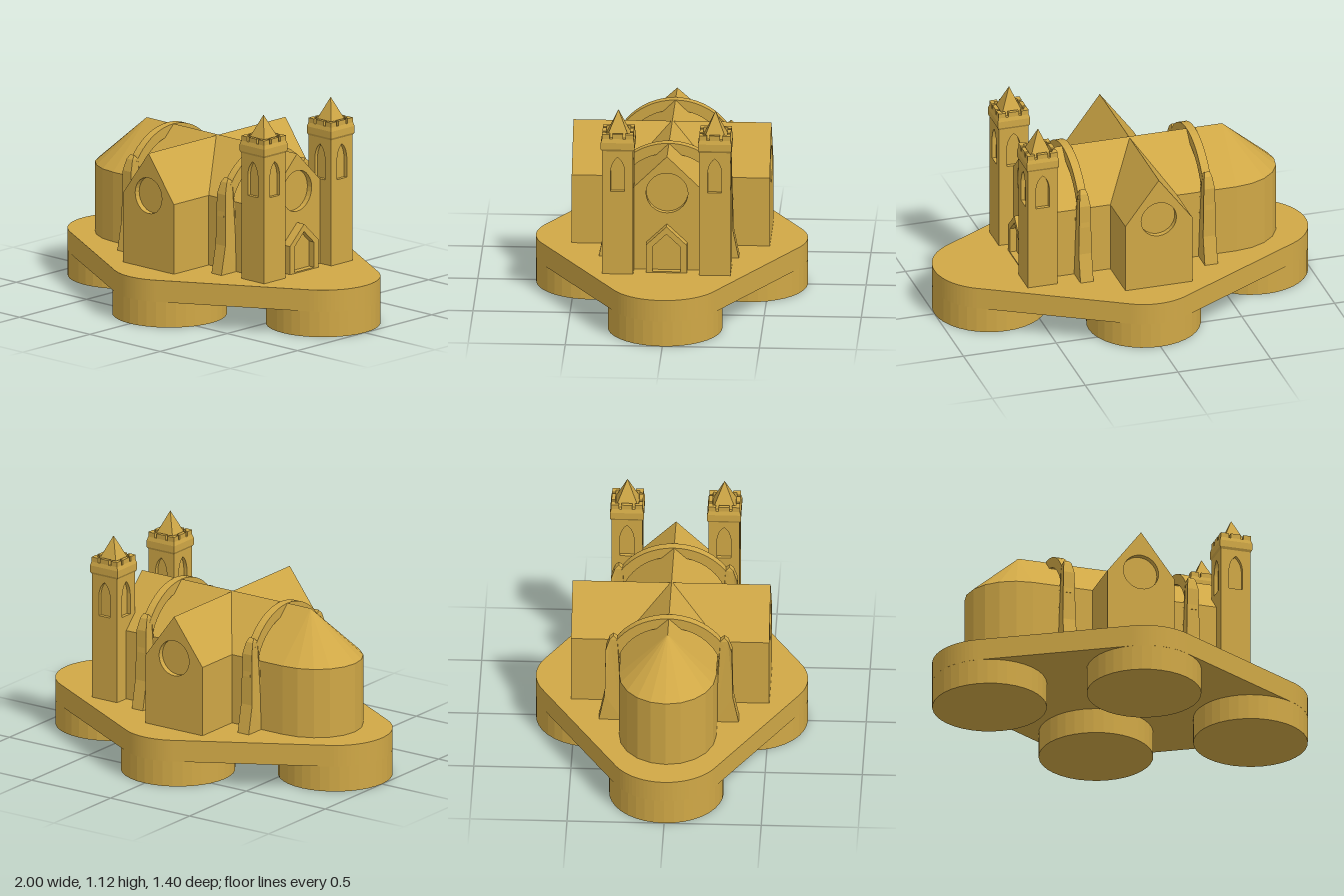
import * as THREE from 'three';

const gold = new THREE.MeshStandardMaterial({ color: 0xd0a846 });
gold.name = 'gold';

const flat = (geo) => {
  const g = geo.index ? geo.toNonIndexed() : geo;
  g.computeVertexNormals();
  return g;
};

function add(parent, name, geo, x = 0, y = 0, z = 0, turn = 0) {
  const mesh = new THREE.Mesh(flat(geo), gold);
  mesh.name = name;
  mesh.position.set(x, y, z);
  mesh.rotation.y = turn;
  parent.add(mesh);
  return mesh;
}

const polygon = (pts) => new THREE.Shape(pts.map(([x, y]) => new THREE.Vector2(x, y)));
const extrude = (shape, depth) =>
  new THREE.ExtrudeGeometry(shape, { depth, bevelEnabled: false, curveSegments: 14 });

// House outline: straight walls under a pointed gable
const gable = (half, base, eaves, ridge) =>
  polygon([[-half, base], [half, base], [half, eaves], [0, ridge], [-half, eaves]]);

const roundHole = (y, r) => new THREE.Path().absarc(0, y, r, 0, Math.PI * 2, true);

function withHole(shape, hole) {
  shape.holes.push(hole);
  return shape;
}

// Pointed-arch window outline
function lancet(half, bottom, spring, top) {
  const p = new THREE.Path();
  p.moveTo(-half, bottom);
  p.lineTo(half, bottom);
  p.lineTo(half, spring);
  p.quadraticCurveTo(half * 0.85, (spring + top) / 2 + 0.015, 0, top);
  p.quadraticCurveTo(-half * 0.85, (spring + top) / 2 + 0.015, -half, spring);
  p.lineTo(-half, bottom);
  return p;
}

function makeBase() {
  const base = new THREE.Group();
  base.name = 'base';
  const r = 0.295, a = Math.PI / 3;
  const s = new THREE.Shape();
  s.absarc(0.705, 0, r, -a, a);
  s.absarc(0, 0.405, r, a, 2 * a);
  s.absarc(-0.705, 0, r, 2 * a, 4 * a);
  s.absarc(0, -0.405, r, 4 * a, 5 * a);
  add(base, 'plate', extrude(s, 0.115).rotateX(-Math.PI / 2), 0, 0.135, 0);
  for (const [x, z] of [[0.705, 0], [-0.705, 0], [0, 0.405], [0, -0.405]])
    add(base, 'roundFoot', new THREE.CylinderGeometry(r, r, 0.135, 36), x, 0.0675, z);
  return base;
}

function makeTower() {
  const t = new THREE.Group();
  t.name = 'tower';
  const w = 0.08, d = 0.02;
  add(t, 'shaftCore', new THREE.BoxGeometry(0.12, 0.68, 0.12), 0, 0.59, 0);
  // Four wall panels, each pierced by a pointed window
  for (let i = 0; i < 4; i++) {
    const h = i % 2 ? w - d : w;
    const wall = polygon([[-h, 0.25], [h, 0.25], [h, 0.93], [-h, 0.93]]);
    wall.holes.push(lancet(0.036, 0.7, 0.81, 0.885));
    const turn = i * Math.PI / 2;
    add(t, 'shaftWall', extrude(wall, d), Math.sin(turn) * (w - d), 0, Math.cos(turn) * (w - d), turn);
  }
  // Flared crown, square in plan
  const k = Math.SQRT2;
  const ring = (r0, r1, y0, y1) => add(t, 'crown',
    new THREE.CylinderGeometry(r1 * k, r0 * k, y1 - y0, 4).rotateY(Math.PI / 4), 0, (y0 + y1) / 2, 0);
  ring(0.08, 0.087, 0.918, 0.93);
  ring(0.087, 0.087, 0.93, 0.965);
  ring(0.087, 0.081, 0.965, 0.985);
  // Battlements
  for (const u of [-1, 0, 1]) for (const v of [-1, 0, 1]) {
    if (!u && !v) continue;
    const sx = u ? (v ? 0.04 : 0.02) : 0.055;
    const sz = v ? (u ? 0.04 : 0.02) : 0.055;
    if (u && v) {
      add(t, 'cornerMerlon', new THREE.BoxGeometry(sx, 0.026, 0.02), u * 0.061, 0.997, v * 0.071);
      add(t, 'cornerMerlon', new THREE.BoxGeometry(0.02, 0.026, 0.02), u * 0.071, 0.997, v * 0.051);
    } else add(t, 'merlon', new THREE.BoxGeometry(sx, 0.026, sz), u * 0.071, 0.997, v * 0.071);
  }
  add(t, 'spire', new THREE.ConeGeometry(0.058 * k, 0.135, 4).rotateY(Math.PI / 4), 0, 1.0525, 0);
  return t;
}

function makeButtress() {
  const b = new THREE.Group();
  b.name = 'flyingButtress';
  // Arch passing over the roof
  const arch = new THREE.Shape();
  arch.absarc(0, 0.535, 0.33, 0.05, Math.PI - 0.05, false);
  arch.absarc(0, 0.535, 0.275, Math.PI - 0.05, 0.05, true);
  add(b, 'arch', extrude(arch, 0.044).translate(0, 0, -0.022), 0, 0, 0, Math.PI / 2);
  // Piers: battered foot, narrowing to a pointed head
  for (const s of [1, -1]) {
    const pier = polygon([[0.24, 0.25], [0.36, 0.25], [0.33, 0.4], [0.325, 0.67],
      [0.305, 0.73], [0.285, 0.75], [0.265, 0.73], [0.255, 0.6], [0.24, 0.5]]);
    const g = extrude(pier, 0.07).translate(0, 0, -0.035);
    const p = g.attributes.position;
    for (let i = 0; i < p.count; i++) {
      const y = p.getY(i);
      p.setZ(i, p.getZ(i) * (y > 0.74 ? 0.4 : y > 0.7 ? 0.6 : y > 0.45 ? 0.85 : 1));
    }
    add(b, 'pier', g, 0, 0, 0, s * Math.PI / 2);
  }
  return b;
}

export function createModel() {
  const model = new THREE.Group();
  model.name = 'churchOnBase';
  model.add(makeBase());
  const q = Math.PI / 2;

  // Nave with a recessed round window in its facade
  add(model, 'nave', extrude(gable(0.25, 0.25, 0.62, 0.865), 1.04), -0.55, 0, 0, q);
  add(model, 'facade', extrude(withHole(gable(0.25, 0.25, 0.62, 0.865), roundHole(0.667, 0.108)), 0.03),
    0.49, 0, 0, q);

  // Rounded apse with a half-cone roof
  const apse = new THREE.Group();
  apse.name = 'apse';
  add(apse, 'apseWall', new THREE.CylinderGeometry(0.25, 0.25, 0.37, 10, 1, true, Math.PI, Math.PI), 0, 0.435, 0);
  add(apse, 'apseRoof', new THREE.ConeGeometry(0.25, 0.245, 10, 1, true, Math.PI, Math.PI), 0, 0.7425, 0);
  apse.scale.x = 1.12;
  apse.position.x = -0.55;
  model.add(apse);

  // Transept with round windows at both ends
  add(model, 'transept', extrude(gable(0.18, 0.25, 0.62, 0.86), 0.96), -0.05, 0, -0.48);
  for (const s of [1, -1])
    add(model, 'transeptEnd', extrude(withHole(gable(0.18, 0.25, 0.62, 0.86), roundHole(0.635, 0.095)), 0.03),
      -0.05, 0, s * 0.48, s > 0 ? 0 : Math.PI);

  // Porch frame with a recessed doorway
  add(model, 'porch', extrude(withHole(gable(0.105, 0.25, 0.4, 0.5), gable(0.073, 0.256, 0.39, 0.46)), 0.05),
    0.52, 0, 0, q);
  add(model, 'door', extrude(gable(0.08, 0.25, 0.395, 0.47), 0.02), 0.515, 0, 0, q);

  for (const s of [1, -1]) {
    const tower = makeTower();
    tower.position.set(0.52, 0, s * 0.25);
    model.add(tower);
  }
  for (const x of [-0.38, 0.29]) {
    const buttress = makeButtress();
    buttress.position.x = x;
    model.add(buttress);
  }
  return model;
}
